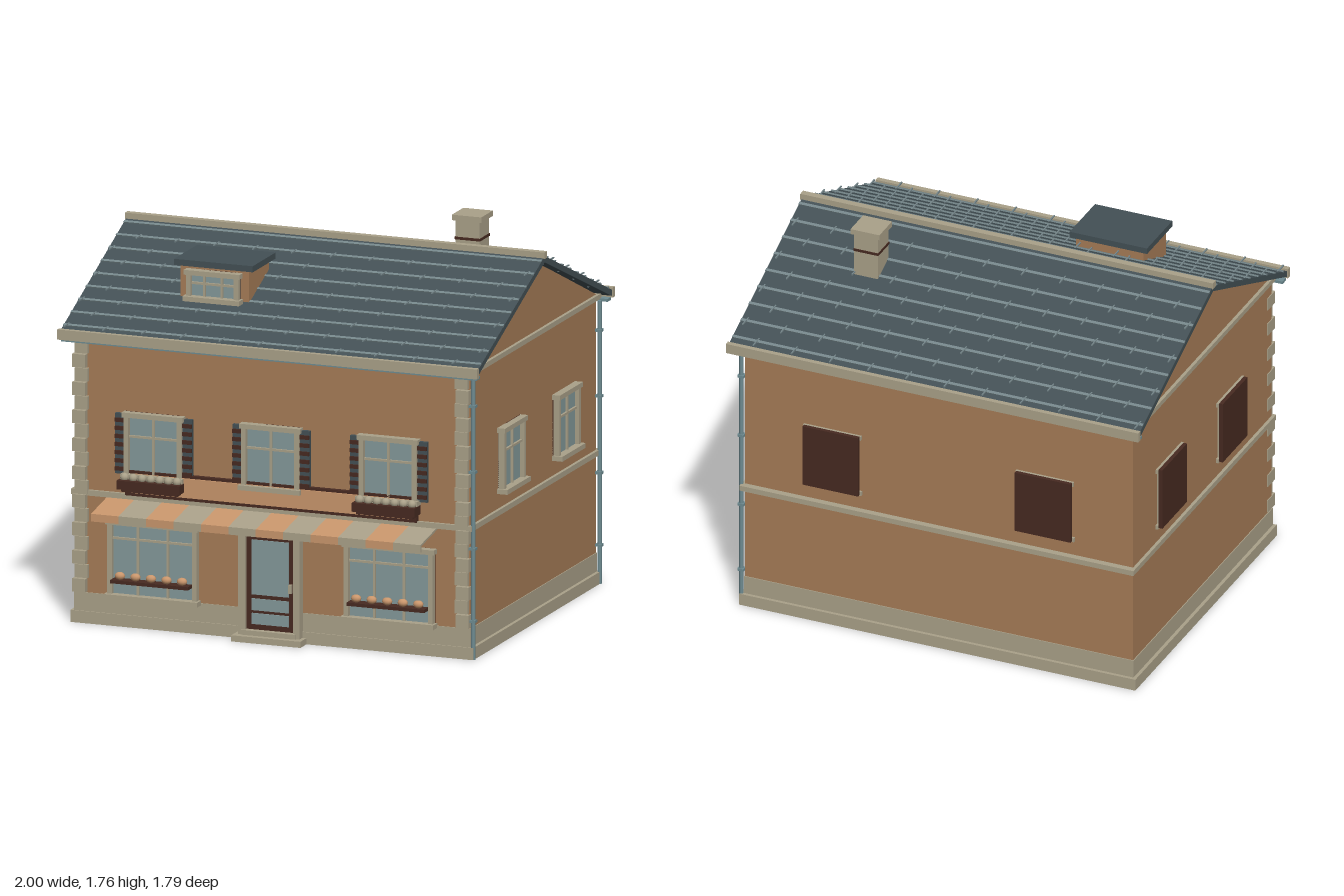
import * as THREE from 'three';
import { mergeGeometries } from 'three/addons/utils/BufferGeometryUtils.js';

const mat = (name, color) => Object.assign(new THREE.MeshStandardMaterial({ color }), { name });
const brick = mat('brick wall', 0xa67c57);
const stone = mat('pale stone', 0xaaa189);
const slate = mat('roof slate', 0x435055);
const seam = mat('slate seam', 0x75868a);
const glass = mat('window glass', 0x84999a);
const wood = mat('dark wood', 0x472a21);
const orange = mat('awning orange', 0xc9966c);
const teal = mat('teal metal', 0x6f8c92);

const CZ = -0.07; // ridge line
const RIDGE = 1.67, SLOPE = 0.42;

function add(parent, name, geometry, material) {
  const m = new THREE.Mesh(geometry, material);
  m.name = name;
  parent.add(m);
  return m;
}

// box given by its minimum and maximum corners
function box(parent, name, material, x0, x1, y0, y1, z0, z1) {
  const m = add(parent, name, new THREE.BoxGeometry(x1 - x0, y1 - y0, z1 - z0), material);
  m.position.set((x0 + x1) / 2, (y0 + y1) / 2, (z0 + z1) / 2);
  return m;
}

function group(parent, name, x = 0, y = 0, z = 0, turn = 0) {
  const g = new THREE.Group();
  g.name = name;
  g.position.set(x, y, z);
  g.rotation.y = turn;
  parent.add(g);
  return g;
}

// extrude a [z, y] outline along x, centred on x = 0
function extrudeX(points, length) {
  const shape = new THREE.Shape(points.map(([z, y]) => new THREE.Vector2(z, y)));
  const g = new THREE.ExtrudeGeometry(shape, { depth: length, bevelEnabled: false });
  return g.rotateY(-Math.PI / 2).translate(length / 2, 0, 0);
}

// glazed window facing +z, bottom centre at the group's origin
function windowUnit(parent, name, x, y, z, w, h, cols, barY, turn = 0) {
  const g = group(parent, name, x, y, z, turn);
  const a = w / 2, f = 0.022;
  box(g, 'reveal', wood, -a, a, 0, h, -0.01, 0.004);
  box(g, 'glass', glass, -a + f, a - f, f, h - f, 0.004, 0.012);
  for (const s of [-1, 1]) {
    box(g, 'jamb', stone, s * (a - f / 2) - f / 2, s * (a - f / 2) + f / 2, 0, h, 0, 0.032);
  }
  box(g, 'head', stone, -a - 0.008, a + 0.008, h - f, h, 0, 0.038);
  box(g, 'sill', stone, -a - 0.01, a + 0.01, 0, f, 0, 0.05);
  for (let i = 1; i < cols; i++) {
    const bx = -a + (w * i) / cols;
    box(g, 'mullion', stone, bx - 0.005, bx + 0.005, f, h - f, 0.01, 0.022);
  }
  box(g, 'transom', stone, -a + f, a - f, barY - 0.005, barY + 0.005, 0.01, 0.022);
  return g;
}

// closed wooden panel over a thin stone surround
function boardedWindow(parent, x, y, z, turn) {
  const g = group(parent, 'boardedWindow', x, y, z, turn);
  box(g, 'surround', stone, -0.125, 0.125, 0.01, 0.29, 0, 0.012);
  box(g, 'sill', stone, -0.143, 0.143, 0, 0.02, -0.01, 0.012);
  box(g, 'head', stone, -0.14, 0.14, 0.28, 0.3, -0.01, 0.012);
  box(g, 'panel', wood, -0.135, 0.135, 0.005, 0.3, 0.012, 0.03);
}

function shutter(parent, x) {
  const g = group(parent, 'shutter', x, 0.7, 0.69);
  box(g, 'shutterPanel', slate, -0.026, 0.026, 0, 0.275, 0, 0.018);
  for (let i = 0; i < 7; i++) {
    box(g, 'louvre', wood, -0.024, 0.024, 0.015 + i * 0.037, 0.033 + i * 0.037, 0.016, 0.026);
  }
}

function walls(house) {
  box(house, 'plinth', stone, -0.96, 0.96, 0, 0.055, -0.84, 0.7);
  box(house, 'baseCourse', stone, -0.944, 0.944, 0.055, 0.14, -0.824, 0.694);
  add(house, 'walls', extrudeX([[-0.82, 0.05], [0.69, 0.05], [0.69, 1.32],
    [CZ, 1.645], [-0.82, 1.32]], 1.88), brick);
  box(house, 'stringCourse', stone, -0.955, 0.955, 0.585, 0.61, -0.85, 0.705);
  box(house, 'cornice', stone, -0.955, 0.955, 1.295, 1.318, -0.85, 0.705);
  // alternating corner blocks on the front
  for (const s of [-1, 1]) {
    for (let i = 0; i < 18; i++) {
      const y = 0.145 + i * 0.064, o = i % 2 ? 0.008 : 0;
      const cx = s * (0.913 - o);
      box(house, 'quoin', stone, cx - 0.031, cx + 0.031, y, y + 0.06, 0.64, 0.718 - o);
    }
  }
  // downpipes with brackets
  for (const z of [0.69, -0.825]) {
    const pipe = add(house, 'downpipe', new THREE.CylinderGeometry(0.01, 0.01, 1.29, 10), teal);
    pipe.position.set(0.956, 0.645, z);
    for (const y of [0.17, 0.5, 0.85, 1.15]) {
      box(house, 'pipeBracket', teal, 0.94, 0.97, y, y + 0.012, z - 0.014, z + 0.014);
    }
  }
}

function roof(house) {
  const e = 0.815, yE = RIDGE - SLOPE * e, t = 0.028;
  add(house, 'roofSlopes', extrudeX([[CZ - e, yE], [CZ - e, yE - t], [CZ, RIDGE - t],
    [CZ + e, yE - t], [CZ + e, yE], [CZ, RIDGE]], 1.99), slate);
  box(house, 'ridgeCap', stone, -1, 1, 1.66, 1.69, CZ - 0.016, CZ + 0.016);
  // courses and staggered joints
  const parts = [];
  const tilt = Math.atan(SLOPE);
  for (const s of [-1, 1]) {
    for (let i = 0; i < 9; i++) {
      const d = 0.04 + i * 0.0905, y = RIDGE - SLOPE * d;
      parts.push(new THREE.BoxGeometry(1.99, 0.008, 0.014).rotateX(s * tilt).translate(0, y + 0.002, CZ + s * d));
      for (let j = 0; j < 11; j++) {
        const x = -0.975 + j * 0.185 + (i % 2) * 0.0925;
        if (x < 0.99 && i > 0) {
          parts.push(new THREE.BoxGeometry(0.006, 0.006, 0.13).translate(x, y + 0.006, CZ + s * (d - 0.02)));
        }
      }
    }
    const zf = CZ + s * 0.815;
    box(house, 'fascia', stone, -1, 1, 1.297, 1.343, zf - 0.012, zf + 0.012);
    box(house, 'gutter', teal, -0.99, 0.99, 1.285, 1.298, zf - s * 0.03 - 0.02, zf - s * 0.03 + 0.02);
  }
  add(house, 'slateCourses', mergeGeometries(parts), seam);
  // chimney
  box(house, 'chimneyStack', stone, 0.485, 0.6, 1.48, 1.745, -0.397, -0.283);
  box(house, 'chimneyBand', wood, 0.482, 0.603, 1.652, 1.664, -0.4, -0.28);
  box(house, 'chimneyCap', stone, 0.472, 0.612, 1.74, 1.765, -0.41, -0.272);
  // dormer
  box(house, 'dormerBody', brick, -0.54, -0.215, 1.465, 1.61, 0.19, 0.435);
  box(house, 'dormerRoof', slate, -0.565, -0.19, 1.607, 1.635, 0.175, 0.45);
  windowUnit(house, 'dormerWindow', -0.377, 1.455, 0.435, 0.25, 0.14, 3, 0.08);
}

function upperFloor(house) {
  for (const x of [-0.56, 0, 0.56]) {
    windowUnit(house, 'upperWindow', x, 0.685, 0.69, 0.275, 0.3, 2, 0.19);
    for (const s of [-1, 1]) shutter(house, x + s * 0.158);
    if (x === 0) continue;
    // flower box
    box(house, 'flowerBox', wood, x - 0.15, x + 0.15, 0.645, 0.685, 0.7, 0.775);
    box(house, 'flowerBoxBase', wood, x - 0.135, x + 0.135, 0.632, 0.648, 0.7, 0.76);
    for (let i = 0; i < 7; i++) {
      const f = add(house, 'flower', new THREE.SphereGeometry(0.02, 10, 8), stone);
      f.position.set(x - 0.125 + i * 0.0417, 0.695, 0.742);
    }
  }
  // blank fascia board over the shop
  box(house, 'signBacking', wood, -0.695, 0.695, 0.605, 0.72, 0.69, 0.712);
  box(house, 'signPanel', orange, -0.66, 0.66, 0.62, 0.708, 0.712, 0.72);
  // side and back windows
  for (const z of [0.225, -0.433]) {
    windowUnit(house, 'sideWindow', 0.94, 0.68, z, 0.26, 0.3, 2, 0.19, Math.PI / 2);
    boardedWindow(house, -0.94, 0.68, z, -Math.PI / 2);
  }
  for (const x of [-0.515, 0.515]) boardedWindow(house, x, 0.68, -0.82, Math.PI);
}

function shopFront(house) {
  // striped awning: sloping strips with a short valance
  const n = 12, w = 1.57 / n;
  for (let i = 0; i < n; i++) {
    const strip = extrudeX([[0.69, 0.578], [0.882, 0.545], [0.882, 0.518], [0.892, 0.518],
      [0.892, 0.553], [0.69, 0.588]], w);
    add(house, 'awningStripe', strip, i % 2 ? stone : orange).position.x = -0.785 + w * (i + 0.5);
  }
  for (const x of [-0.74, 0.74]) box(house, 'awningArm', stone, x - 0.006, x + 0.006, 0.535, 0.545, 0.69, 0.885);
  // display windows
  for (const x of [-0.563, 0.563]) {
    windowUnit(house, 'shopWindow', x, 0.13, 0.69, 0.425, 0.36, 3, 0.275);
    box(house, 'breadShelf', wood, x - 0.185, x + 0.185, 0.208, 0.223, 0.7, 0.755);
    for (let i = 0; i < 5; i++) {
      const b = add(house, 'loaf', new THREE.SphereGeometry(0.024, 12, 8), orange);
      b.scale.set(1, 0.75, 0.75);
      b.position.set(x - 0.148 + i * 0.074, 0.24, 0.732);
    }
  }
  // door and surround
  box(house, 'doorStep', stone, -0.165, 0.165, 0, 0.028, 0.69, 0.772);
  box(house, 'threshold', stone, -0.13, 0.13, 0.028, 0.05, 0.69, 0.745);
  for (const s of [-1, 1]) box(house, 'doorJamb', stone, s * 0.13 - 0.016, s * 0.13 + 0.016, 0.028, 0.49, 0.69, 0.735);
  box(house, 'doorLintel', stone, -0.16, 0.16, 0.488, 0.512, 0.69, 0.748);
  box(house, 'door', wood, -0.115, 0.115, 0.05, 0.49, 0.69, 0.715);
  box(house, 'doorGlass', glass, -0.088, 0.088, 0.21, 0.46, 0.715, 0.72);
  box(house, 'doorLowerPane', glass, -0.088, 0.088, 0.075, 0.125, 0.715, 0.72);
  box(house, 'doorMidPane', glass, -0.088, 0.088, 0.138, 0.192, 0.715, 0.72);
  box(house, 'doorHandle', stone, 0.09, 0.104, 0.23, 0.27, 0.715, 0.73);
}

export function createModel() {
  const house = new THREE.Group();
  house.name = 'shopHouse';
  walls(house);
  roof(house);
  upperFloor(house);
  shopFront(house);
  return house;
}
